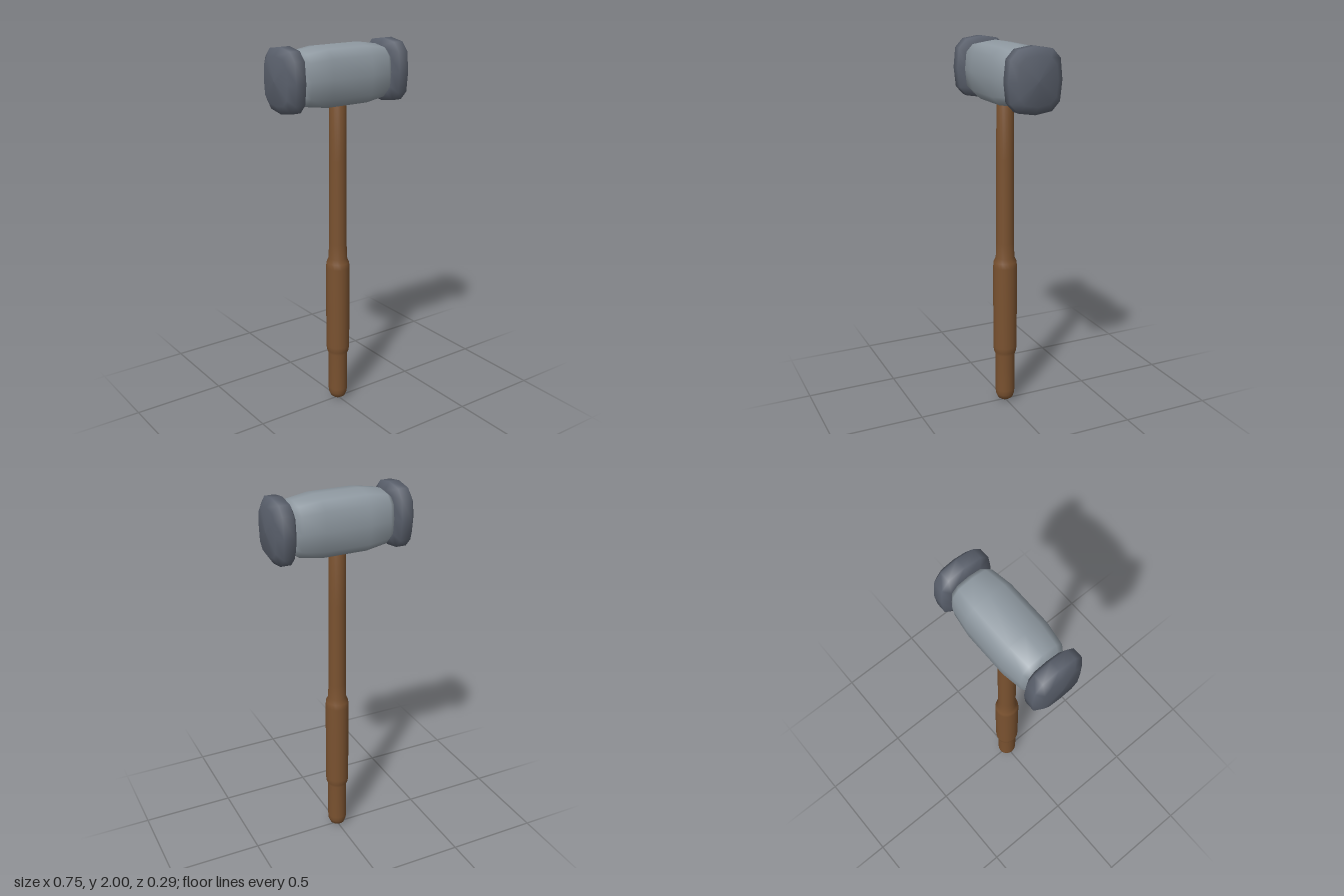
import * as THREE from 'three';

const HEAD_Y = 1.838;

// One quarter of the rounded, boxy head section as [z, y]
const QUARTER = [[0.143, 0], [0.132, 0.103], [0.09, 0.148]];

// Full section, counter-clockwise seen from -x to +x (z towards y)
function headSection() {
  const pts = [];
  for (const [z, y] of QUARTER) pts.push([z, y]);
  pts.push([0, 0.162]);
  for (let i = 2; i >= 0; i--) pts.push([-QUARTER[i][0], QUARTER[i][1]]);
  for (let i = 1; i < 3; i++) pts.push([-QUARTER[i][0], -QUARTER[i][1]]);
  pts.push([0, -0.162]);
  for (let i = 2; i > 0; i--) pts.push([QUARTER[i][0], -QUARTER[i][1]]);
  return pts;
}

// Sweeps the section along x through stations of [x, scale]
function loftX(stations) {
  const section = headSection();
  const n = section.length;
  const pos = [];
  const index = [];
  stations.forEach(([x, s], i) => {
    section.forEach(([z, y], j) => {
      pos.push(x, y * s, z * s);
      if (i + 1 === stations.length) return;
      const a = i * n + j, b = i * n + (j + 1) % n;
      index.push(a, a + n, b, b, a + n, b + n);
    });
  });
  const geo = new THREE.BufferGeometry();
  geo.setAttribute('position', new THREE.Float32BufferAttribute(pos, 3));
  geo.setIndex(index);
  geo.computeVertexNormals();
  return geo;
}

export function createModel() {
  const model = new THREE.Group();
  const wood = new THREE.MeshStandardMaterial({ color: 0x7a5230 });
  const steel = new THREE.MeshStandardMaterial({ color: 0x8f99a1 });
  const darkSteel = new THREE.MeshStandardMaterial({ color: 0x5a606c });

  const add = (name, geo, mat, y = 0) => {
    const mesh = new THREE.Mesh(geo, mat);
    mesh.name = name;
    mesh.position.y = y;
    model.add(mesh);
    return mesh;
  };

  // Handle: rounded butt, thick grip, slightly tapering shaft
  const profile = [
    [0, 0], [0.022, 0.005], [0.04, 0.018], [0.05, 0.042], [0.052, 0.07],
    [0.052, 0.285], [0.06, 0.305], [0.063, 0.335],
    [0.063, 0.8], [0.06, 0.83], [0.049, 0.855],
    [0.047, 0.94], [0.045, 1.4], [0.043, 1.72], [0, 1.72],
  ].map(([r, y]) => new THREE.Vector2(r, y));
  add('handle', new THREE.LatheGeometry(profile, 20), wood).scale.z = 1.04;

  // Barrel-shaped middle of the head
  add('headBody', loftX([
    [-0.27, 0], [-0.27, 0.68], [-0.235, 0.845], [-0.12, 0.955],
    [0.12, 0.955], [0.235, 0.845], [0.27, 0.68], [0.27, 0],
  ]), steel, HEAD_Y);

  // Striking faces, one at each end
  const face = [[0.262, 0], [0.262, 0.74], [0.285, 1], [0.34, 1], [0.368, 0.74], [0.377, 0]];
  add('leftStrikingFace', loftX(face), darkSteel, HEAD_Y);
  const mirrored = face.map(([x, s]) => [-x, s]).reverse();
  add('rightStrikingFace', loftX(mirrored), darkSteel, HEAD_Y);

  return model;
}
